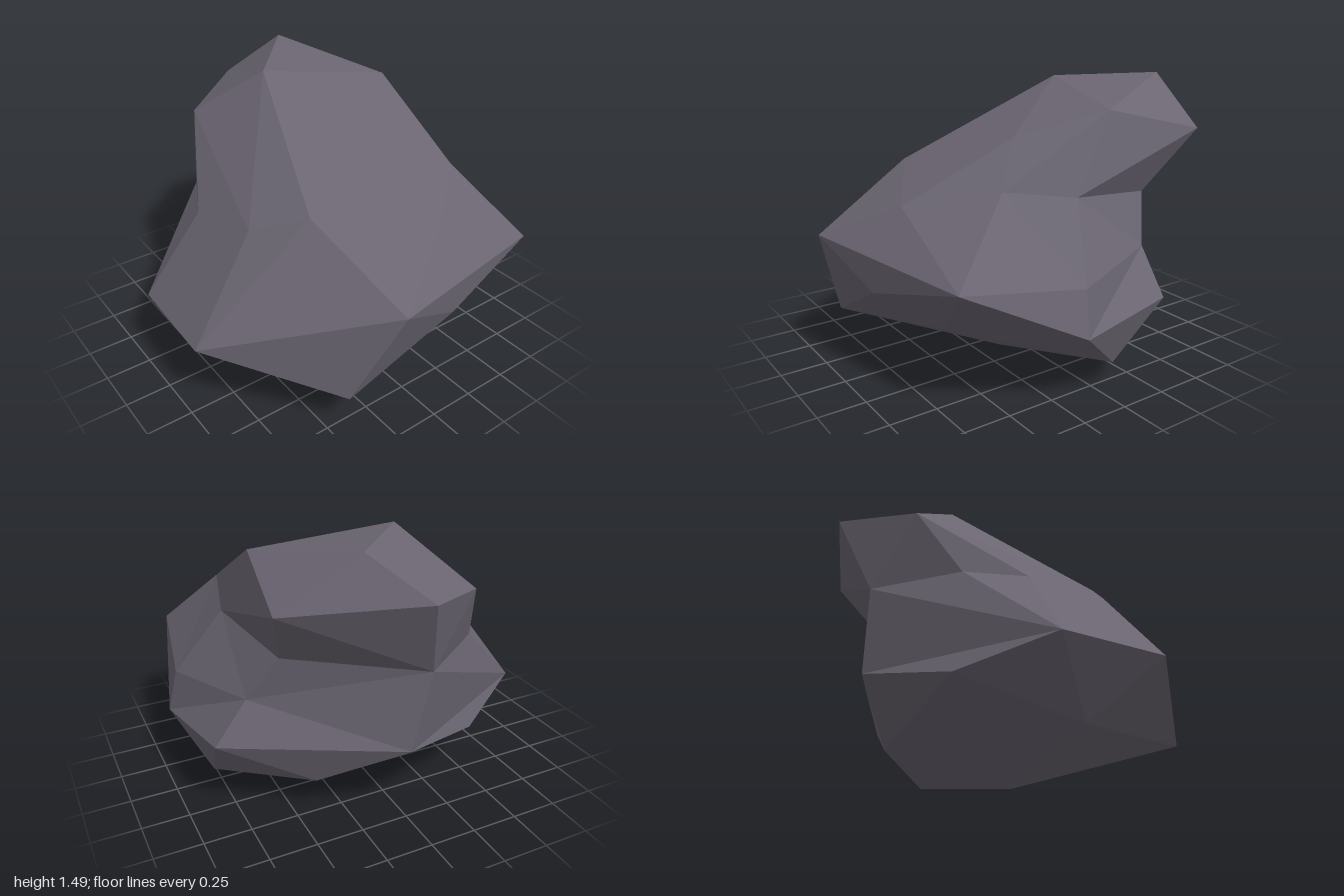
import * as THREE from 'three';

// Corners of the boulder, grouped by region.
const corners = {
  // crown and overhanging top
  A: [0.04, 1.27, -1.0], B: [0.3, 1.49, -0.82], C: [0.685, 1.235, -0.745],
  D: [-0.085, 1.465, -0.395], E: [0.6, 1.365, -0.2], F: [-0.35, 1.19, -0.73],
  // sloping front face
  G: [-0.37, 1.03, 0.43], H: [0.575, 1.035, 0.42], I: [0.32, 1.225, 0.18],
  K: [0.19, 0.93, 0.74], L: [-0.235, 0.725, 1.0], J: [0.795, 0.685, 0.795],
  // -x flank
  M: [-0.96, 0.41, 0.28], N: [-0.94, 0.405, -0.29],
  O: [-0.62, 0.84, -0.24], P: [-0.57, 0.914, 0.19],
  // underside
  Q: [-0.425, 0.215, 0.83], R: [0.175, 0.52, 0.9], S: [-0.705, 0.105, 0],
  T: [0.1, 0, 0.11], U: [0.81, 0.13, -0.09], a: [0.33, 0.31, 0.6],
  // +x flank
  V: [0.955, 0.385, 0.2], W: [0.905, 0.615, 0.18], X: [0.67, 0.975, 0.05],
  Y: [0.87, 0.435, -0.365], Z: [0.7, 0.665, -0.365],
  // back, hollowed under the overhang
  b: [0.395, 0.19, -0.51], c: [0.02, 0.43, -0.81], d: [-0.065, 0.86, -0.835],
  e: [-0.475, 0.85, -0.53], f: [0.566, 0.91, -0.48], g: [-0.49, 0.31, -0.575],
};

// Facet fans: the first corner is the hub, the rest run anticlockwise round it.
const fans = [
  'KLJHIGL', 'IHEDG', 'LGMQRJ', 'JVWH', 'XEHW', // front slope and its edges
  'CEXfdABE', 'DEBA', 'DPG', 'FAdeOPDA', // crown
  'NPOedcgSMP', 'MGP', 'MSQ', // -x flank
  'ZWVYcdfXW', 'YVUbc', // +x flank and back
  'aQTUVJRQ', 'TQSgbU', 'cbg', // underside
];

function facetedGeometry() {
  const positions = [];
  for (const [hub, ...rim] of fans) {
    for (let i = 0; i < rim.length - 1; i++) {
      positions.push(...corners[hub], ...corners[rim[i]], ...corners[rim[i + 1]]);
    }
  }
  const geometry = new THREE.BufferGeometry();
  geometry.setAttribute('position', new THREE.Float32BufferAttribute(positions, 3));
  geometry.computeVertexNormals(); // unshared corners give flat facets
  return geometry;
}

export function createModel() {
  const stone = new THREE.MeshStandardMaterial({ color: 0x6a6571 });
  stone.name = 'grey stone';

  const boulder = new THREE.Mesh(facetedGeometry(), stone);
  boulder.name = 'boulder';

  const group = new THREE.Group();
  group.name = 'rock';
  group.add(boulder);
  return group;
}
